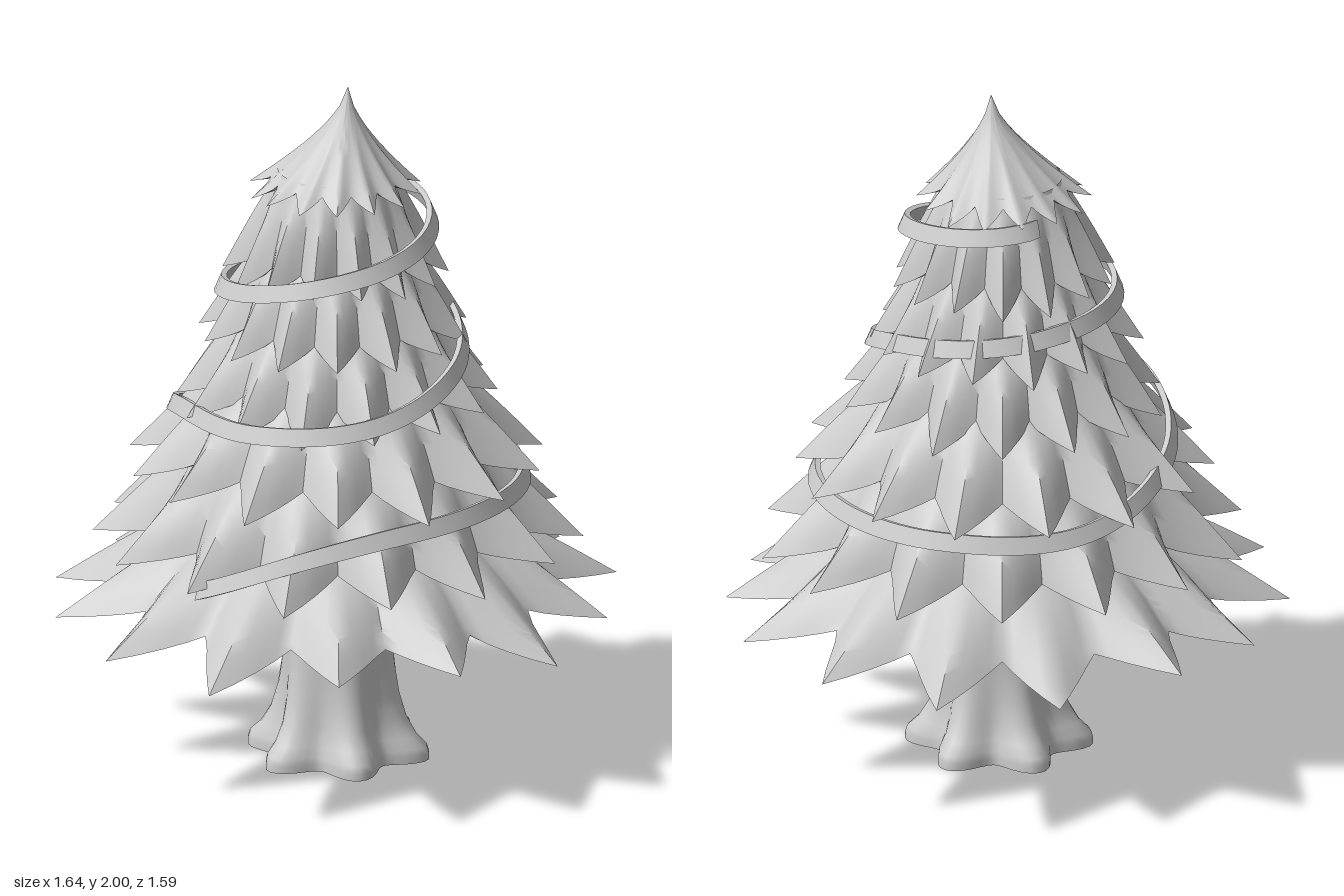
import * as THREE from 'three';
import { ParametricGeometry } from 'three/addons/geometries/ParametricGeometry.js';
import { toCreasedNormals } from 'three/addons/utils/BufferGeometryUtils.js';

const TIPS = 14;
const material = new THREE.MeshStandardMaterial({ color: 0xcccccc, side: THREE.DoubleSide });
const { lerp } = THREE.MathUtils;

function surfaceMesh(name, fn, slices, stacks, crease) {
  const mesh = new THREE.Mesh(toCreasedNormals(new ParametricGeometry(fn, slices, stacks), crease), material);
  mesh.name = name;
  return mesh;
}

// Repeatable variation in -1..1 for each leaf tip
function vary(tier, tip) {
  const n = Math.sin(tier * 12.99 + tip * 78.23) * 43758.5;
  return (n - Math.floor(n)) * 2 - 1;
}

// Leaf tips of the widest tier: radius and height
const LOWEST_TIPS = [
  [0.82, 0.46], [0.79, 0.45], [0.8, 0.42], [0.8, 0.47], [0.81, 0.47], [0.85, 0.43], [0.845, 0.45],
  [0.82, 0.46], [0.815, 0.45], [0.795, 0.45], [0.82, 0.48], [0.745, 0.41], [0.83, 0.44], [0.82, 0.45],
];

// One skirt of pointed leaves: ridged upper side, then an underside running back to the trunk
function branchTier(t, index) {
  const ROWS = 10, UNDER = 3;
  const tips = index === 0 ? LOWEST_TIPS : Array.from({ length: TIPS }, (_, i) => [
    t.tipR * (1 + 0.025 * vary(index, i)), t.tipY - 0.015 * vary(index + 9, i),
  ]);
  const valleyR = t.tipR * 0.74, valleyY = t.tipY + t.lift;
  const fn = (u, v, target) => {
    const around = u * TIPS;
    const [tipR, tipY] = tips[Math.round(around) % TIPS];
    const f = Math.min(1, 2 * Math.abs(around - Math.round(around)));   // 0 at tip, 1 at valley
    const p = 1 - f;
    const angle = (u + (index % 2) * 0.5 / TIPS) * Math.PI * 2;
    const rimR = lerp(valleyR, tipR, Math.pow(p, 1.3));
    const rimY = lerp(valleyY, tipY, Math.pow(p, 0.9));
    const row = Math.round(v * (ROWS + UNDER));
    let r, y, lean = 0;
    if (row <= ROWS) {
      // round cone near the top, breaking into leaves toward the rim
      const s = row / ROWS, leaf = Math.pow(s, t.top ? 2.5 : 1.5);
      const baseR = t.tipR * 0.83;
      r = lerp(t.topR, baseR, s) + (rimR - baseR) * leaf;
      y = lerp(t.topY, valleyY, Math.pow(s, t.curve)) + (rimY - valleyY) * leaf;
      y += t.puff * Math.sin(Math.PI * s) * Math.sqrt(1 - f * f);
      lean = t.top ? 1 - s : 0;
    } else {
      const s = (row - ROWS) / UNDER;
      r = lerp(rimR, t.innerR, s);
      y = lerp(rimY, valleyY + 0.01, Math.pow(s, 0.8));
    }
    target.set(r * Math.cos(angle) + 0.03 * lean, y, r * Math.sin(angle) + 0.02 * lean);
  };
  return surfaceMesh('branchTier' + (index + 1), fn, TIPS * 8, ROWS + UNDER, 0.95);
}

// Trunk with six flared roots and a flat base
function trunk() {
  // radius, height, root depth
  const rows = [
    [0.145, 0.58, 0], [0.152, 0.42, 0.003], [0.157, 0.28, 0.006], [0.166, 0.19, 0.012], [0.18, 0.12, 0.02],
    [0.2, 0.07, 0.03], [0.222, 0.04, 0.04], [0.226, 0.02, 0.042], [0.226, 0, 0.042], [0, 0, 0],
  ];
  const fn = (u, v, target) => {
    const [radius, y, root] = rows[Math.round(v * (rows.length - 1))];
    const a = u * Math.PI * 2;
    const r = radius + root * Math.cos(6 * (a - Math.PI / 2));
    target.set(r * Math.cos(a), y, 0.03 + r * Math.sin(a));
  };
  return surfaceMesh('trunk', fn, 72, rows.length - 1, 0.8);
}

// Flat ribbon winding up around the branches
function garland() {
  // angle in degrees, height, radius
  const path = new THREE.CatmullRomCurve3([
    [142, 0.65, 0.64], [115, 0.76, 0.59], [92, 0.815, 0.56], [60, 0.84, 0.55], [0, 0.84, 0.54], [-45, 0.84, 0.545],
    [-90, 0.85, 0.54], [-135, 0.96, 0.5], [-180, 1.07, 0.455], [-225, 1.085, 0.46], [-270, 1.12, 0.45],
    [-315, 1.21, 0.4], [-360, 1.3, 0.345], [-450, 1.37, 0.31], [-540, 1.42, 0.335], [-630, 1.53, 0.325],
    [-720, 1.63, 0.27], [-810, 1.68, 0.24],
  ].map(([a, y, r]) => new THREE.Vector3(THREE.MathUtils.degToRad(a), y, r)));
  // cross-section corners: outward, upward
  const section = [[0.014, -0.024], [-0.006, 0.024], [-0.022, 0.02], [-0.004, -0.028]];
  const fn = (u, v, target) => {
    const c = path.getPoint(u);
    let [out, up] = section[Math.round(v * 4) % 4];
    if (u === 0 || u === 1) {            // pinch the ends shut
      out = up > 0 ? -0.014 : 0.005;
      up = up > 0 ? 0.022 : -0.026;
    }
    const r = c.z + out;
    target.set(r * Math.cos(c.x), c.y + up, r * Math.sin(c.x));
  };
  return surfaceMesh('garland', fn, 200, 4, 0.5);
}

export function createModel() {
  const group = new THREE.Group();
  group.name = 'tree';
  group.add(trunk());

  // Tiers from the ground up: tip radius and height, then top radius and height
  const tiers = [
    [0.815, 0.45, 0.38, 0.73],
    [0.69, 0.645, 0.4, 0.95],
    [0.6, 0.87, 0.32, 1.16],
    [0.465, 1.07, 0.26, 1.35],
    [0.39, 1.255, 0.21, 1.54],
    [0.318, 1.445, 0.165, 1.75],
    [0.25, 1.685, 0, 2],
  ];
  tiers.forEach(([tipR, tipY, topR, topY], i) => {
    const top = i === tiers.length - 1;
    group.add(branchTier({
      tipR, tipY, topR, topY, top,
      innerR: i === 0 ? 0.13 : topR * 0.6,
      lift: top ? 0.04 : 0.055,
      puff: top ? 0 : 0.02,
      curve: top ? 0.66 : 0.9,
    }, i));
  });

  group.add(garland());
  return group;
}
